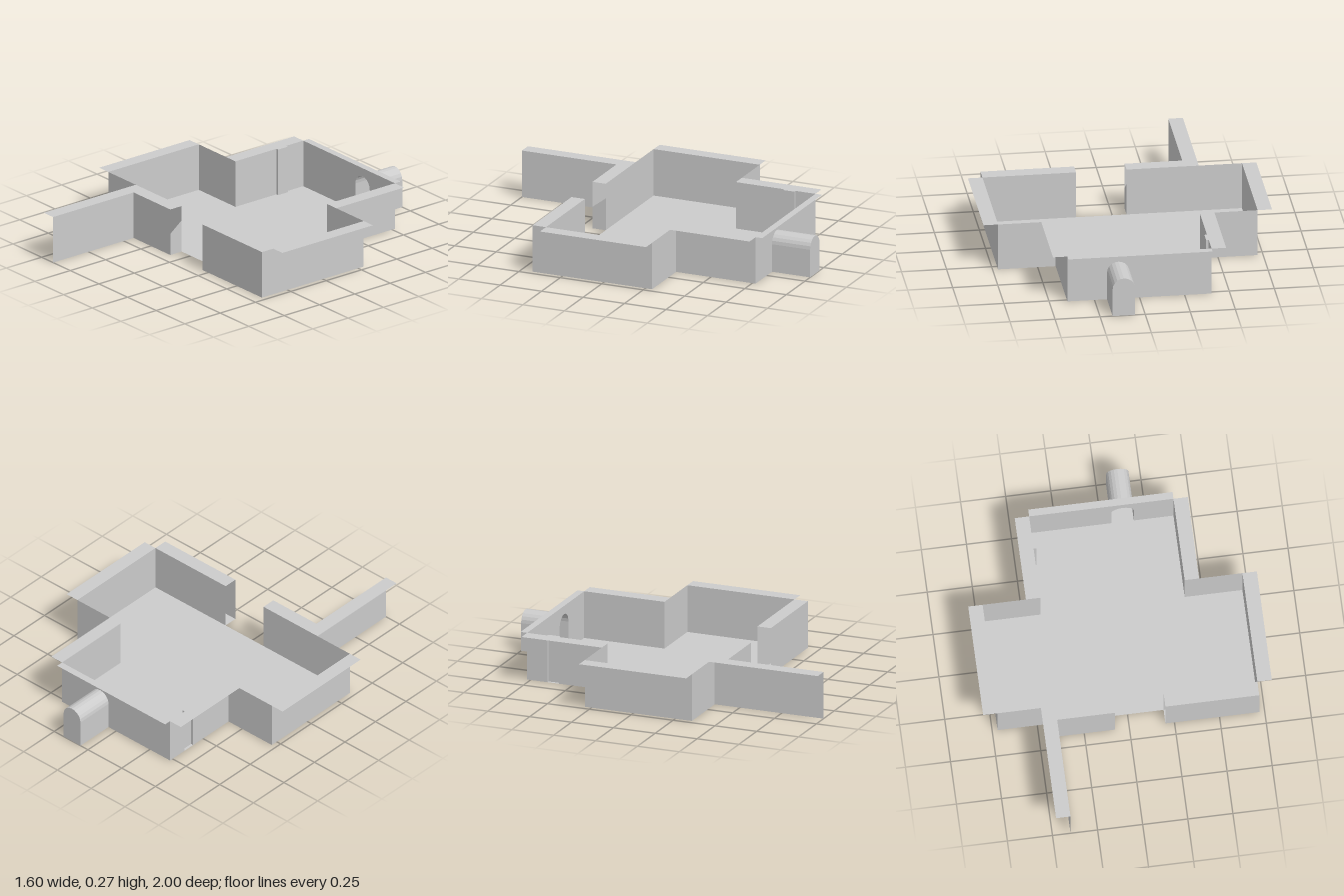
import * as THREE from 'three';

const H = 0.27; // wall height
const material = new THREE.MeshStandardMaterial({ color: 0xcccccc, side: THREE.DoubleSide, flatShading: true });

export function createModel() {
  const model = new THREE.Group();
  const add = (name, geometry) => {
    const mesh = new THREE.Mesh(geometry, material);
    mesh.name = name;
    model.add(mesh);
    return mesh;
  };

  // Upright thin wall following a path of [x, z] points
  const wall = (name, path, height = H) => {
    const pos = [];
    for (let i = 0; i < path.length - 1; i++) {
      const [ax, az] = path[i], [bx, bz] = path[i + 1];
      pos.push(ax, 0, az, bx, 0, bz, bx, height, bz, ax, 0, az, bx, height, bz, ax, height, az);
    }
    const g = new THREE.BufferGeometry();
    g.setAttribute('position', new THREE.Float32BufferAttribute(pos, 3));
    g.computeVertexNormals();
    return add(name, g);
  };

  // Level sheet from an outline of [x, z] points
  const sheet = (name, outline, y) => {
    const shape = new THREE.Shape(outline.map(([x, z]) => new THREE.Vector2(x, -z)));
    return add(name, new THREE.ShapeGeometry(shape).rotateX(-Math.PI / 2).translate(0, y, 0));
  };
  const ledge = (name, x0, x1, z0, z1) => sheet(name, [[x0, z0], [x0, z1], [x1, z1], [x1, z0]], H);

  // Floor
  sheet('floor', [
    [-0.72, 0.35], [-0.4, 0.35], [-0.4, 0.43], [-0.08, 0.43], [-0.08, 0.35], [0.2, 0.35], [0.2, 0.43],
    [0.72, 0.43], [0.72, -0.29], [0.4, -0.29], [0.4, -0.77], [-0.4, -0.77], [-0.4, -0.29], [-0.72, -0.29],
  ], 0);

  // Side walls; the one on the -x side has a small inward jog
  const jog = [[-0.4, -0.58], [-0.385, -0.58], [-0.385, -0.65], [-0.4, -0.65]];
  wall('rightWall', [[-0.08, 0.35], [-0.72, 0.35], [-0.72, -0.29], [-0.4, -0.29], ...jog, [-0.4, -0.77]]);
  wall('leftWall', [[0.4, -0.77], [0.4, -0.29], [0.72, -0.29], [0.72, 0.43], [0.2, 0.43]]);
  wall('leftFrontInnerWall', [[0.2, 0.35], [0.72, 0.35]]);
  wall('rightFrontOuterWall', [[-0.08, 0.43], [-0.4, 0.43]]);
  wall('outerLongWall', [[-0.4, 0.35], [-0.4, 1]]);

  // Partial jamb with a sloping top beside the doorway
  const jamb = new THREE.Shape([[-0.43, 0], [-0.35, 0], [-0.35, 0.185], [-0.43, 0.125]].map((p) => new THREE.Vector2(...p)));
  add('doorJamb', new THREE.ShapeGeometry(jamb).rotateY(Math.PI / 2).translate(-0.08, 0, 0));

  // Arched alcove: outline shared by the hole, the shell and the end cap
  const cx = 0.118, r = 0.0625, spring = 0.16, zBack = -1, zWall = -0.77;
  const arch = [new THREE.Vector2(cx + r, 0)];
  for (let i = 0; i <= 10; i++) {
    const a = (i / 10) * Math.PI;
    arch.push(new THREE.Vector2(cx + r * Math.cos(a), spring + r * Math.sin(a)));
  }
  arch.push(new THREE.Vector2(cx - r, 0));

  const back = new THREE.Shape([
    new THREE.Vector2(-0.4, 0), ...[...arch].reverse(),
    new THREE.Vector2(0.4, 0), new THREE.Vector2(0.4, H), new THREE.Vector2(-0.4, H),
  ]);
  add('backWall', new THREE.ShapeGeometry(back).translate(0, 0, zWall));

  const shell = [];
  arch.forEach((a, i) => {
    const b = arch[(i + 1) % arch.length];
    shell.push(a.x, a.y, zWall, a.x, a.y, zBack, b.x, b.y, zBack, a.x, a.y, zWall, b.x, b.y, zBack, b.x, b.y, zWall);
  });
  const shellGeometry = new THREE.BufferGeometry();
  shellGeometry.setAttribute('position', new THREE.Float32BufferAttribute(shell, 3));
  shellGeometry.computeVertexNormals();
  add('alcoveShell', shellGeometry);
  add('alcoveEnd', new THREE.ShapeGeometry(new THREE.Shape(arch)).translate(0, 0, zBack));

  // Ledges along the wall tops
  ledge('rightLedge', -0.8, -0.72, -0.29, 0.35);
  ledge('leftLedge', 0.72, 0.8, -0.29, 0.35);
  ledge('leftBackLedge', 0.4, 0.48, -0.77, -0.29);
  sheet('rightBackLedge', [[-0.48, -0.29], [-0.4, -0.29], ...jog, [-0.4, -0.77], [-0.48, -0.77]], H);
  ledge('backLedge', -0.4, 0.4, -0.81, -0.77);
  ledge('leftFrontLedge', 0.2, 0.72, 0.35, 0.43);
  ledge('rightFrontLedge', -0.4, -0.08, 0.35, 0.43);
  ledge('outerLongLedge', -0.48, -0.4, 0.35, 1);

  return model;
}
